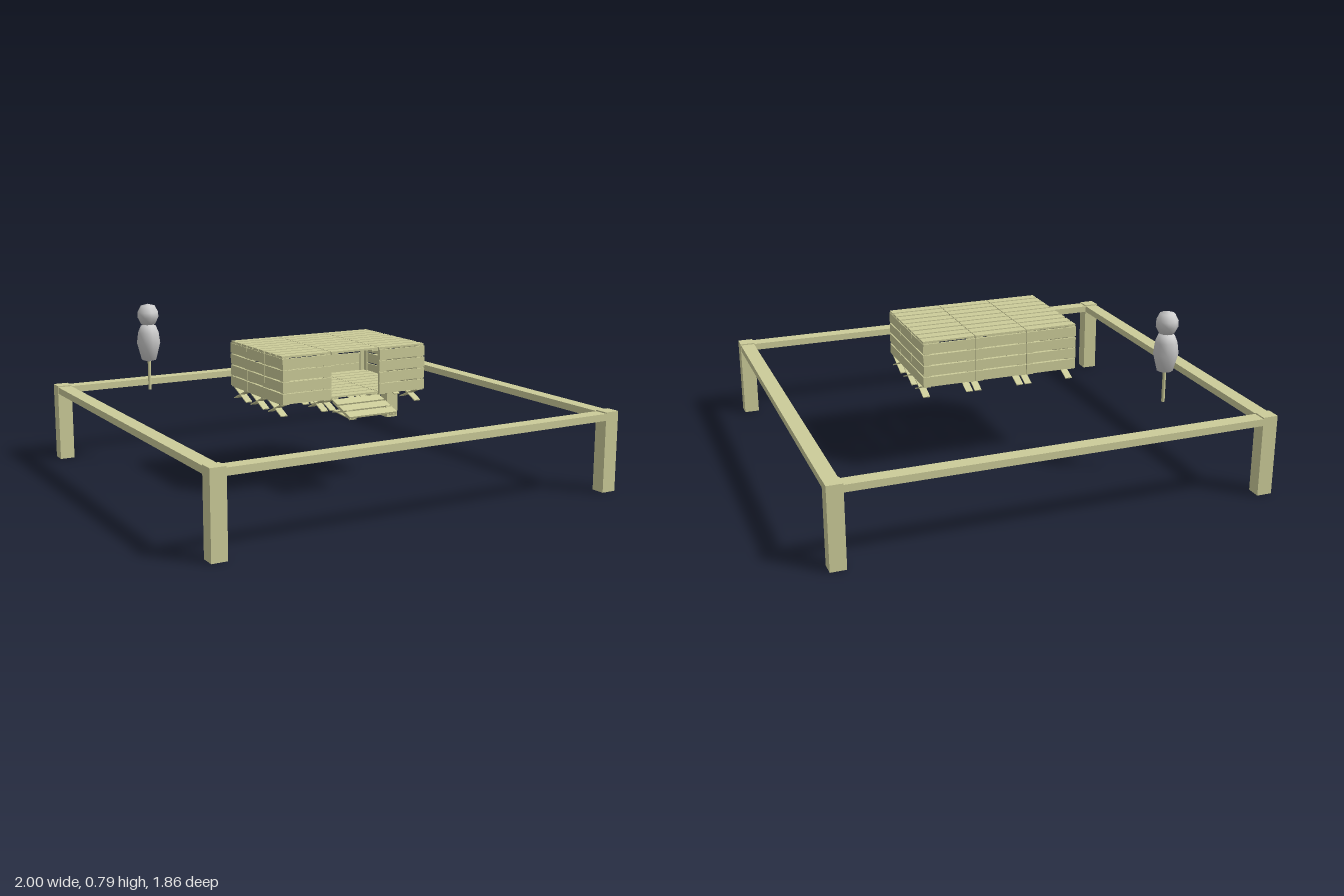
import * as THREE from 'three';

export function createModel() {
  const model = new THREE.Group();
  const wood = new THREE.MeshStandardMaterial({ color: 0xcccc99 });
  const grey = new THREE.MeshStandardMaterial({ color: 0xcccccc });

  const group = (name, parent = model) => {
    const g = new THREE.Group();
    g.name = name;
    parent.add(g);
    return g;
  };
  const box = (parent, name, w, h, d, x, y, z, rx = 0) => {
    const m = new THREE.Mesh(new THREE.BoxGeometry(w, h, d), wood);
    m.name = name;
    m.position.set(x, y, z);
    m.rotation.x = rx;
    parent.add(m);
    return m;
  };

  // Outer frame: four posts joined by rails
  const frame = group('frame');
  for (const s of [-1, 1]) {
    for (const t of [-1, 1]) box(frame, 'post', 0.07, 0.37, 0.066, s * 0.965, 0.185, t * 0.897);
    box(frame, 'sideRail', 0.066, 0.032, 1.73, s * 0.965, 0.348, 0);
    box(frame, 'endRail', 1.86, 0.032, 0.066, 0, 0.348, s * 0.897);
  }

  // A slatted panel: boards along x stacked along local z, on two battens below
  const panel = (parent, name, width, depth, count, gap) => {
    const g = group(name, parent);
    const pitch = depth / count;
    for (let i = 0; i < count; i++) {
      box(g, 'board', width, 0.008, pitch - gap, 0, -0.004, -depth / 2 + pitch * (i + 0.5));
    }
    for (const s of [-1, 1]) {
      box(g, 'batten', 0.033, 0.007, depth - 0.008, s * (width / 2 - 0.0185), -0.0115, 0);
    }
    return g;
  };

  const columns = [-0.2475, 0, 0.2475];
  const rows = [-0.117, 0.056, 0.229];
  const hut = group('hut');

  // Roof and floor, three by three panels each
  for (const x of columns) {
    for (const z of rows) {
      panel(hut, 'roofPanel', 0.244, 0.171, 3, 0.012).position.set(x, 0.64, z);
      panel(hut, 'floorPanel', 0.244, 0.171, 3, 0.012).position.set(x, 0.438, z);

      // Crossed feet below each floor panel
      for (const s of [-1, 1]) {
        for (const t of [-1, 1]) {
          box(hut, 'crossedFoot', 0.032, 0.005, 0.136, x + s * 0.103, 0.397, z, t * 0.4);
        }
      }
    }
  }

  // Walls, with the middle of the front left open as a doorway
  const wallY = 0.5285, wallH = 0.207;
  const wall = (name, width, x, z, turn) => {
    const holder = group(name, hut);
    holder.position.set(x, wallY, z);
    holder.rotation.y = turn;
    panel(holder, 'wallPanel', width, wallH, 4, 0.006).rotation.x = Math.PI / 2;
  };
  for (const x of columns) {
    wall('backWall', 0.244, x, -0.205, Math.PI);
    if (x !== 0) wall('frontWall', 0.244, x, 0.317, 0);
  }
  for (const z of rows) {
    wall('leftWall', 0.17, 0.3705, z, Math.PI / 2);
    wall('rightWall', 0.17, -0.3705, z, -Math.PI / 2);
  }

  // Entry ramp with struts underneath
  const ramp = group('ramp');
  const slope = panel(ramp, 'rampPanel', 0.244, 0.168, 3, 0.011);
  slope.position.set(0, 0.401, 0.394);
  slope.rotation.x = 0.33;
  for (const s of [-1, 1]) {
    box(ramp, 'rampStrut', 0.033, 0.005, 0.13, s * 0.103, 0.381, 0.372, -0.2);
    box(ramp, 'rampFoot', 0.033, 0.005, 0.14, s * 0.103, 0.372, 0.39, 0.06);
  }

  // Tree with a slim trunk and two rounded tufts
  const tree = group('tree');
  tree.position.set(-0.625, 0, -0.59);
  const trunk = new THREE.Mesh(new THREE.CylinderGeometry(0.008, 0.008, 0.15, 8), wood);
  trunk.name = 'trunk';
  trunk.position.y = 0.44;
  tree.add(trunk);
  const tuft = (name, points) => {
    const m = new THREE.Mesh(
      new THREE.LatheGeometry(points.map(([r, y]) => new THREE.Vector2(r, y)), 9), grey);
    m.name = name;
    tree.add(m);
  };
  tuft('lowerFoliage', [[0, 0.503], [0.036, 0.514], [0.057, 0.595], [0.05, 0.647], [0.036, 0.68], [0, 0.69]]);
  tuft('upperFoliage', [[0, 0.679], [0.034, 0.687], [0.051, 0.72], [0.05, 0.745], [0.034, 0.777], [0, 0.786]]);

  return model;
}
